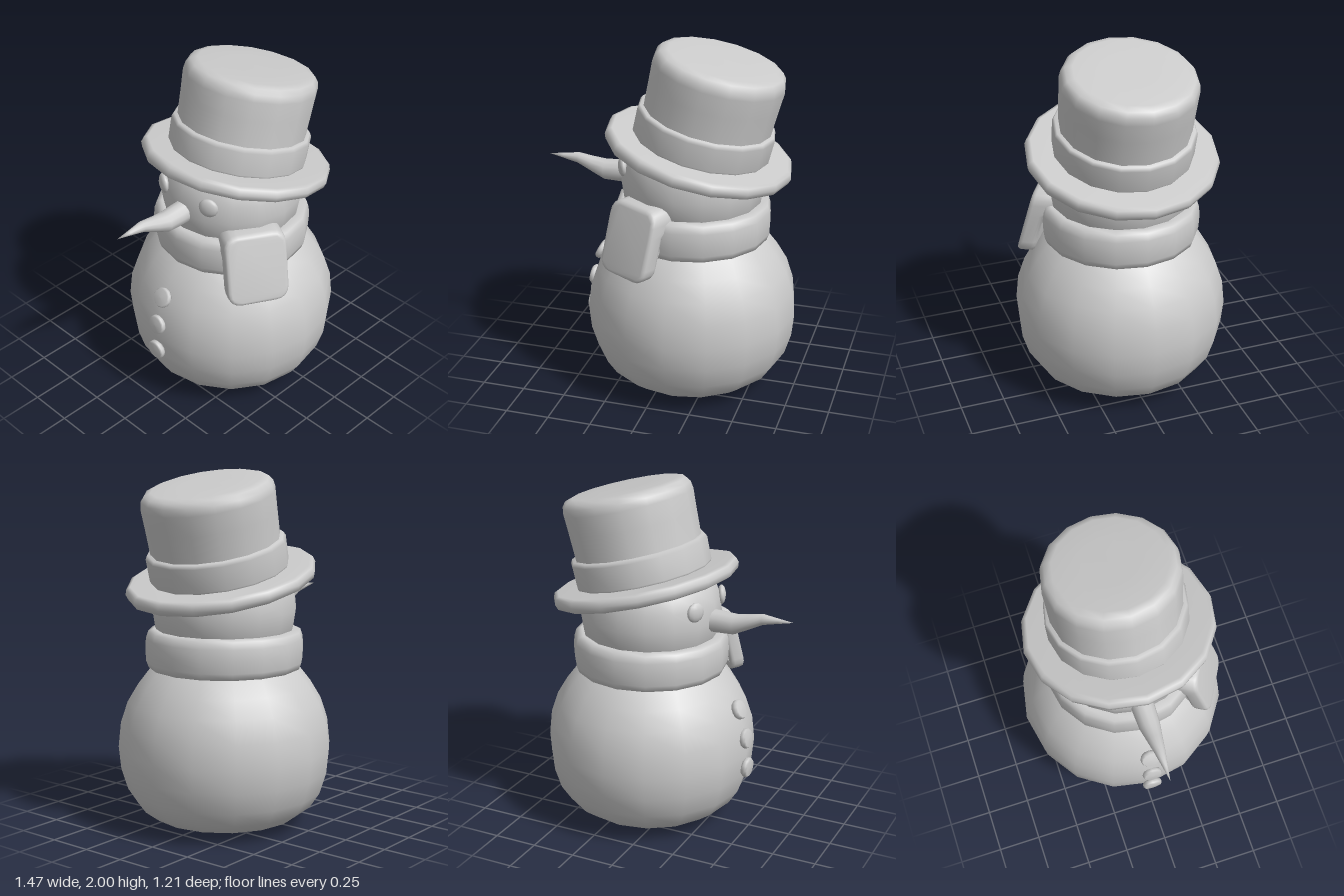
import * as THREE from 'three';
import { mergeVertices, toCreasedNormals } from 'three/addons/utils/BufferGeometryUtils.js';

const material = new THREE.MeshStandardMaterial({ color: 0xcccccc });
const SIDES = 16;
const AXIS_X = 0.13; // the body stands a little off centre, the nose points to -x

function addMesh(parent, name, geometry, x = 0, y = 0, z = 0) {
  const mesh = new THREE.Mesh(geometry, material);
  mesh.name = name;
  mesh.position.set(x, y, z);
  parent.add(mesh);
  return mesh;
}

// Profile points are [radius, height], from bottom to top
function lathe(profile, sides = SIDES) {
  return new THREE.LatheGeometry(profile.map(([r, y]) => new THREE.Vector2(r, y)), sides);
}

// Carrot nose: a lathe laid along -x, each ring lifted to bend it
function noseGeometry() {
  const rings = [[0.066, 0.2, 1.232], [0.064, 0.3, 1.23], [0.059, 0.39, 1.228],
    [0.045, 0.47, 1.252], [0.031, 0.555, 1.28], [0.015, 0.645, 1.284], [0, 0.733, 1.288]];
  const geometry = lathe(rings, 12).rotateZ(Math.PI / 2);
  const p = geometry.attributes.position;
  for (let i = 0; i < p.count; i++) p.setY(i, p.getY(i) + rings[i % rings.length][2]);
  geometry.deleteAttribute('normal');
  geometry.deleteAttribute('uv');
  const merged = mergeVertices(geometry);
  merged.computeVertexNormals();
  return merged;
}

// Hanging scarf end: rounded slab leaning outward, its top folded back over the scarf
function scarfEndGeometry() {
  const w = 0.155, h = 0.175, c = 0.06;
  const s = new THREE.Shape();
  s.moveTo(-w + c, -h);
  s.lineTo(w - c, -h);
  s.quadraticCurveTo(w, -h, w, -h + c);
  s.lineTo(w, 0.05);
  s.lineTo(w, h - c);
  s.quadraticCurveTo(w, h, w - c, h);
  s.lineTo(-w + c, h);
  s.quadraticCurveTo(-w, h, -w, h - c);
  s.lineTo(-w, 0.05);
  s.lineTo(-w, -h + c);
  s.quadraticCurveTo(-w, -h, -w + c, -h);
  const geometry = new THREE.ExtrudeGeometry(s, {
    depth: 0.05, bevelSize: 0.022, bevelThickness: 0.025, bevelSegments: 3, curveSegments: 4,
  });
  const p = geometry.attributes.position;
  for (let i = 0; i < p.count; i++) {
    const y = p.getY(i), z = p.getZ(i);
    const fold = z < 0.02 ? 0.06 * THREE.MathUtils.smoothstep(y, 0.05, 0.12) : 0;
    p.setZ(i, z + 0.44 - 0.28 * y - fold);
  }
  geometry.computeVertexNormals();
  return toCreasedNormals(geometry, 0.9);
}

export function createModel() {
  const model = new THREE.Group();
  model.name = 'snowman';

  // Snow body and head
  addMesh(model, 'body', lathe([[0, 0], [0.15, 0.003], [0.3, 0.02], [0.42, 0.055], [0.5, 0.115],
    [0.555, 0.2], [0.592, 0.32], [0.605, 0.45], [0.59, 0.59], [0.55, 0.71], [0.49, 0.81],
    [0.42, 0.9], [0.32, 0.98], [0, 1.02]]), AXIS_X);
  addMesh(model, 'head', lathe([[0, 0.92], [0.25, 0.97], [0.35, 1.05], [0.39, 1.13], [0.405, 1.23],
    [0.395, 1.33], [0.36, 1.43], [0.25, 1.53], [0, 1.58]]), AXIS_X);

  // Scarf
  addMesh(model, 'scarf', lathe([[0.34, 0.9], [0.4, 0.893], [0.43, 0.905], [0.443, 0.94],
    [0.447, 1.01], [0.443, 1.07], [0.43, 1.11], [0.4, 1.122], [0.34, 1.115]]), AXIS_X);
  addMesh(model, 'scarfEnd', scarfEndGeometry(), AXIS_X, 0.995, 0).rotation.y = -0.515;

  // Face
  addMesh(model, 'nose', noseGeometry());
  for (const side of [1, -1]) {
    const eye = addMesh(model, side > 0 ? 'rightEye' : 'leftEye',
      new THREE.SphereGeometry(0.056, 12, 8), -0.23, 1.325, side * 0.175);
    eye.scale.x = 0.45;
    eye.rotation.y = side * 0.45;
  }

  // Coat buttons, turned to follow the belly
  const button = lathe([[0, -0.02], [0.05, -0.02], [0.058, -0.008], [0.058, 0.008],
    [0.05, 0.018], [0, 0.02]], 12).rotateZ(Math.PI / 2);
  for (const [x, y, tilt] of [[-0.425, 0.72, -0.45], [-0.472, 0.55, -0.14], [-0.483, 0.37, 0.06]]) {
    addMesh(model, 'button', button, x, y).rotation.z = tilt;
  }

  // Tilted top hat
  const hat = new THREE.Group();
  hat.name = 'hat';
  hat.position.set(0.163, 1.405, 0);
  hat.rotation.z = -0.235;
  model.add(hat);
  addMesh(hat, 'brim', lathe([[0, -0.04], [0.3, -0.04], [0.505, -0.04], [0.527, -0.03], [0.537, 0],
    [0.527, 0.03], [0.505, 0.04], [0.3, 0.04], [0, 0.04]]));
  addMesh(hat, 'hatBand', lathe([[0.34, 0.03], [0.38, 0.03], [0.391, 0.05], [0.393, 0.18],
    [0.382, 0.2], [0.34, 0.203]]));
  addMesh(hat, 'crown', lathe([[0.36, 0.03], [0.363, 0.2], [0.368, 0.35], [0.373, 0.46],
    [0.366, 0.5], [0.345, 0.527], [0.305, 0.54], [0.15, 0.542], [0, 0.543]]));

  return model;
}
